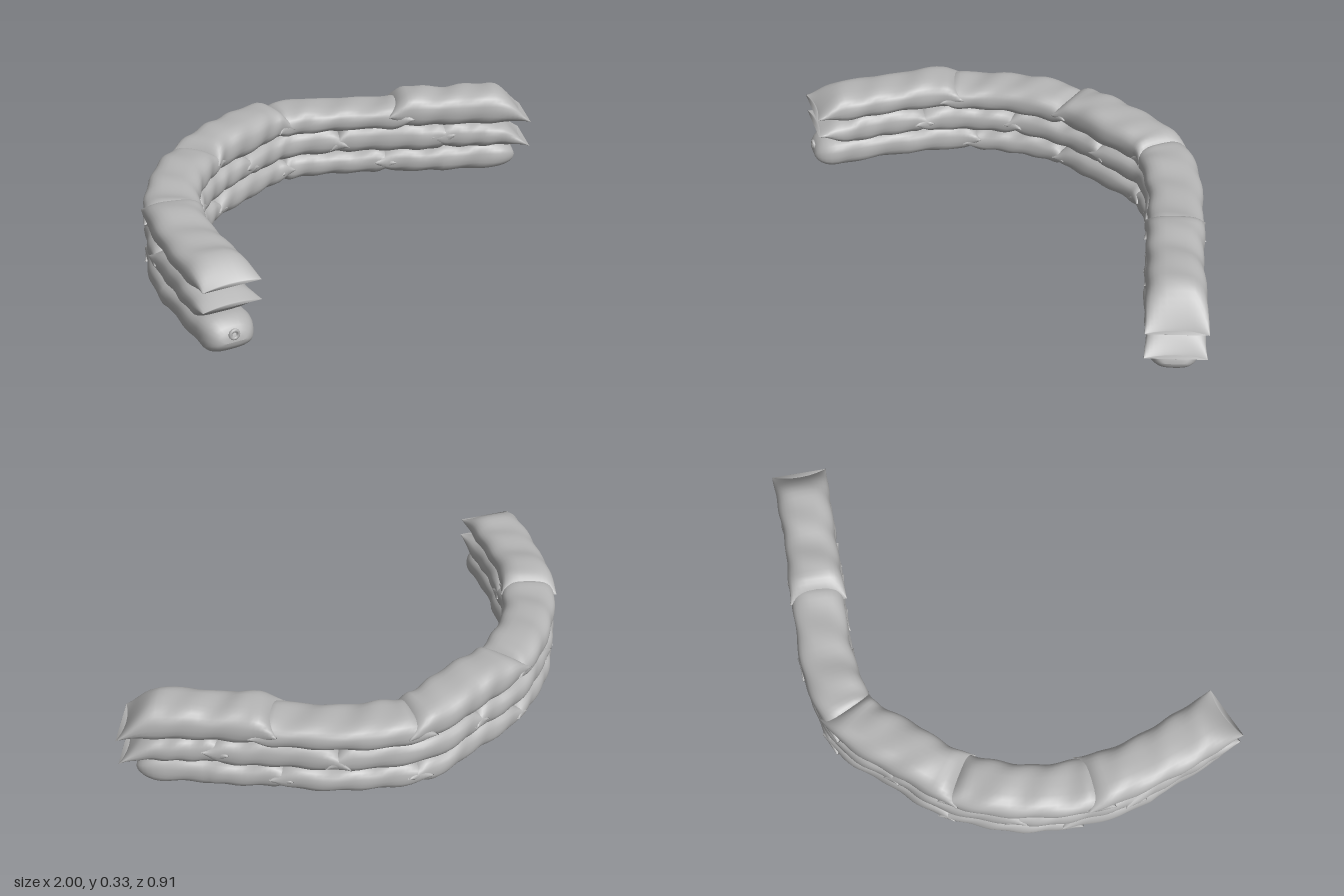
import * as THREE from 'three';

// Centre line of the curved wall; bag spans below are given in point indices (0..10)
const PATH = new THREE.CatmullRomCurve3([
  [-0.9, 0.35], [-0.79, 0.13], [-0.64, -0.09], [-0.44, -0.25], [-0.21, -0.335], [0, -0.34],
  [0.22, -0.33], [0.41, -0.2], [0.59, 0.01], [0.74, 0.19], [0.91, 0.38],
].map(([x, z]) => new THREE.Vector3(x, 0, z)));

// Each bag: start, end, underside y, top y, seam y at start, seam y at end
const LAYERS = {
  bottomBag: [
    [0, 2.45, 0, 0.12, 0.055, 0.07], [2.3, 4.05, 0, 0.105, 0.05, 0.05], [3.95, 6.2, 0, 0.115, 0.05, 0.06],
    [6.0, 7.9, 0, 0.11, 0.05, 0.06], [7.72, 9.78, 0, 0.115, 0.06, 0.05],
  ],
  middleBag: [
    [0, 1.68, 0.095, 0.215, 0.175, 0.15], [1.52, 3.18, 0.09, 0.205, 0.15, 0.14], [3.02, 5.06, 0.09, 0.205, 0.15, 0.14],
    [4.92, 7.22, 0.09, 0.21, 0.15, 0.13], [7.05, 8.85, 0.09, 0.215, 0.12, 0.17], [8.6, 10, 0.098, 0.21, 0.16, 0.11],
  ],
  topBag: [
    [0, 2.18, 0.195, 0.308, 0.245, 0.25], [1.95, 4.06, 0.185, 0.292, 0.24, 0.235], [3.92, 6.2, 0.185, 0.313, 0.24, 0.225],
    [5.95, 8.15, 0.18, 0.285, 0.22, 0.24], [7.9, 10, 0.19, 0.325, 0.25, 0.21],
  ],
};

const RINGS = 32, SIDES = 28, HALF_WIDTH = 0.1;
const spow = (v, e) => Math.sign(v) * Math.pow(Math.abs(v), e);

// Pillow swept along the path: full in the middle, pinched to a flat seam at each end
function bagGeometry([t0, t1, yLow, yHigh, seamA, seamB], seed, roundEnds) {
  const pos = [], index = [];
  const length = PATH.getPoint(t0 / 10).distanceTo(PATH.getPoint(t1 / 10));
  const yMid = (yLow + yHigh) / 2;
  for (let i = 0; i <= RINGS; i++) {
    const u = (1 - Math.cos(Math.PI * i / RINGS)) / 2;
    const t = (t0 + (t1 - t0) * u) / 10;
    const c = PATH.getPoint(t), dir = PATH.getTangent(t);
    const first = u < 0.5;
    const outer = first ? t0 === 0 : t1 > 9.7;         // free end of the wall
    const rounded = outer && roundEnds;
    const k = Math.min(1, Math.min(u, 1 - u) * length / (rounded ? 0.06 : outer ? 0.13 : 0.065));
    const puff = rounded ? Math.sqrt(1 - (1 - k) ** 2) : Math.pow(Math.sin(k * Math.PI / 2), outer ? 0.9 : 0.65);
    const axis = yMid + ((first ? seamA : seamB) - yMid) * (1 - puff);
    const w = HALF_WIDTH * (rounded ? 0.3 + 0.6 * puff : 1.03 - 0.07 * puff) * (1 + 0.025 * Math.sin(u * 9 + seed * 2));
    const crown = 0.006 * Math.sin(u * 7 + seed * 1.7) + 0.003 * Math.sin(u * 19 + seed);
    for (let j = 0; j < SIDES; j++) {
      const a = 2 * Math.PI * j / SIDES;
      const x = spow(Math.cos(a), 0.72), s = spow(Math.sin(a), 0.8);
      const half = s > 0 ? yHigh - yMid + crown : yMid - yLow;
      const crease = 0.0025 * Math.sin(u * 23 + a * 3 + seed * 3) * puff;
      const y = Math.max(0.001, axis + s * (half + crease) * puff);
      // corners of a pinched seam stick out like ears
      const ear = rounded ? (first ? -0.03 : 0.03) * (1 - Math.min(1, k)) : (first ? -1 : 1) * 0.018 * x * x * (1 - puff);
      const side = x * (w + crease);
      pos.push(c.x + dir.z * side + dir.x * ear, y, c.z - dir.x * side + dir.z * ear);
    }
  }
  for (let i = 0; i < RINGS; i++) {
    for (let j = 0; j < SIDES; j++) {
      const n = (j + 1) % SIDES;
      const a = i * SIDES + j, b = i * SIDES + n;
      index.push(a, b, a + SIDES, b, b + SIDES, a + SIDES);
    }
  }
  // close the short end loops
  for (let j = 1; j < SIDES - 1; j++) {
    const e = RINGS * SIDES;
    index.push(0, j + 1, j, e, e + j, e + j + 1);
  }
  const g = new THREE.BufferGeometry();
  g.setAttribute('position', new THREE.Float32BufferAttribute(pos, 3));
  g.setIndex(index);
  g.computeVertexNormals();
  return g;
}

export function createModel() {
  const model = new THREE.Group();
  model.name = 'sandbagWall';
  const cloth = new THREE.MeshStandardMaterial({ color: 0xb4b4b4 });
  cloth.name = 'grey cloth';

  let seed = 1;
  for (const [name, bags] of Object.entries(LAYERS)) {
    const layer = new THREE.Group();
    layer.name = name + 'Layer';
    bags.forEach((bag, i) => {
      const mesh = new THREE.Mesh(bagGeometry(bag, seed++, name === 'bottomBag'), cloth);
      mesh.name = name + (i + 1);
      layer.add(mesh);
    });
    model.add(layer);
  }

  // gathered knot on the free end of the lowest bag
  const knot = new THREE.Mesh(new THREE.TorusGeometry(0.014, 0.006, 8, 16), cloth);
  knot.name = 'tieKnot';
  knot.position.set(-0.912, 0.08, 0.372);
  knot.rotation.y = -0.45;
  model.add(knot);
  return model;
}
